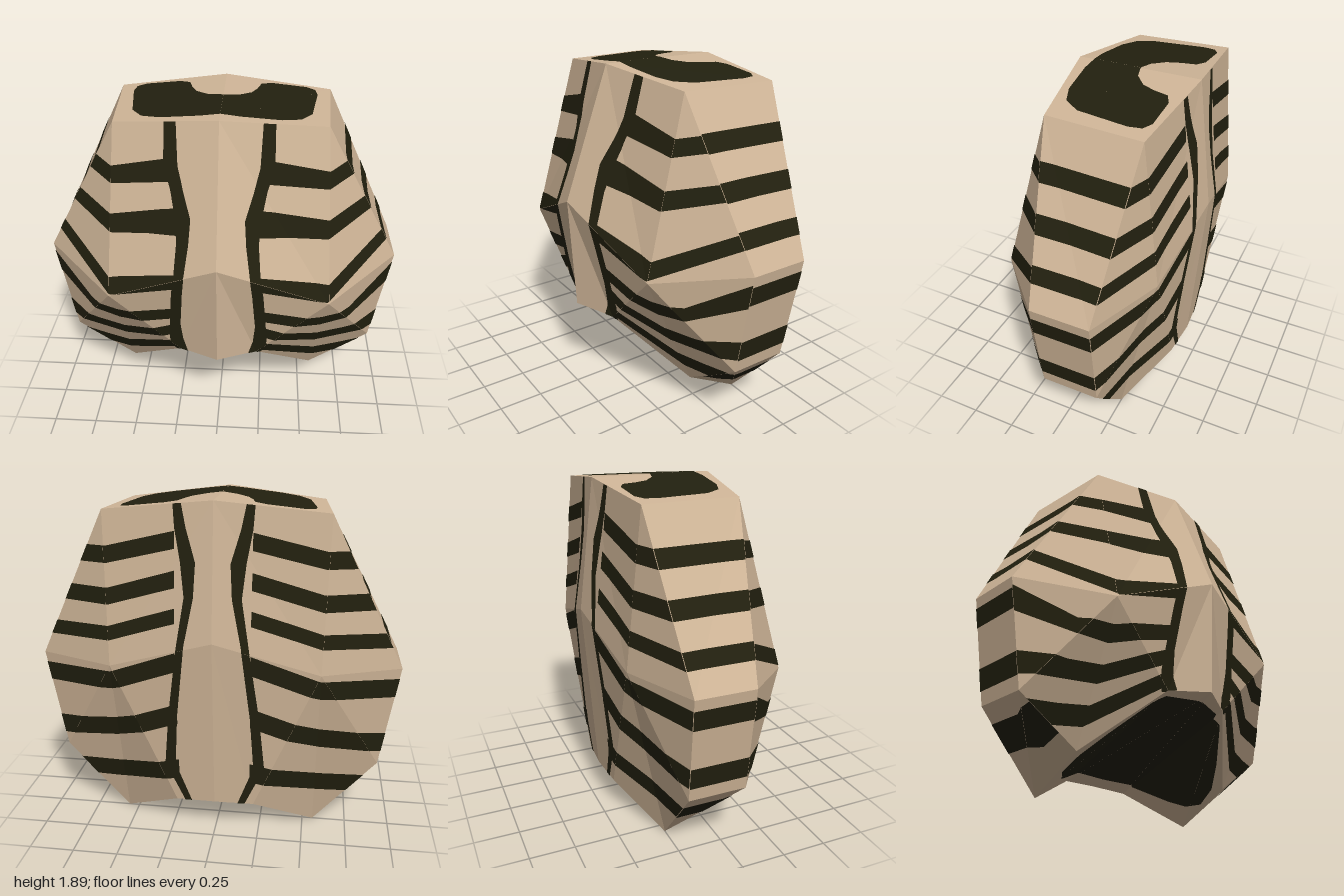
import * as THREE from 'three';

// Corner points of the +x half
const P = {
  T0: [0, 1.89, 0.25], T1: [0.555, 1.83, 0.15], T2: [0.59, 1.83, -0.38], T3: [0, 1.89, -0.43],
  M: [0, 1.17, 0.515], A: [0.61, 0.9, 0.4], S1: [1, 1, 0.04], S2: [1, 1, -0.29],
  L1: [0.91, 0.41, 0.05], L2: [0.91, 0.41, -0.27], B: [0.56, 0.18, 0.07], C: [0.22, 0.51, 0.37],
  D: [0, 0.53, 0.48], E: [0.56, 0, -0.25], F: [0.22, 0.18, -0.43], G: [0, 0.19, -0.45],
  H: [0, 1.17, -0.52], I: [0.57, 1.0, -0.46],
};

// Facets of each face of the torso
const FACETS = {
  front: ['T0 T1 A', 'T0 A M', 'T1 S1 A', 'A S1 L1', 'A L1 B', 'A B C', 'M A C', 'M C D'],
  back: ['T3 T2 I', 'T3 I H', 'T2 S2 I', 'I S2 L2', 'I L2 E', 'I E F', 'H I F', 'H F G'],
  side: ['T1 T2 S2', 'T1 S2 S1', 'S1 S2 L2', 'S1 L2 L1', 'L1 L2 E', 'L1 E B'],
  top: ['T0 T1 T2', 'T0 T2 T3'],
  underside: ['D C F', 'D F G', 'C B E', 'C E F'],
};
const CENTRE = new THREE.Vector3(0, 0.95, -0.03);

// Triangle with outward winding, plus its normal
function facet(names, mirror) {
  const t = names.split(' ').map((n) => new THREE.Vector3(P[n][0] * mirror, P[n][1], P[n][2]));
  const normalOf = () => t[1].clone().sub(t[0]).cross(t[2].clone().sub(t[0])).normalize();
  if (normalOf().dot(t[0].clone().sub(CENTRE)) < 0) t.reverse();
  return { t, n: normalOf() };
}

function meshOf(name, points, material) {
  const g = new THREE.BufferGeometry().setFromPoints(points);
  g.computeVertexNormals();
  const m = new THREE.Mesh(g, material);
  m.name = name;
  return m;
}

const cross = (a, b, p) => (b[0] - a[0]) * (p[1] - a[1]) - (b[1] - a[1]) * (p[0] - a[0]);

// Cut a flat polygon to a flat triangle
function clip(poly, tri) {
  const s = Math.sign(cross(tri[0], tri[1], tri[2]));
  let out = poly;
  for (let i = 0; i < 3; i++) {
    const a = tri[i], b = tri[(i + 1) % 3], src = out;
    out = [];
    src.forEach((p, k) => {
      const q = src[(k + 1) % src.length];
      const dp = s * cross(a, b, p), dq = s * cross(a, b, q);
      if (dp >= 0) out.push(p);
      if (dp * dq < 0) {
        const f = dp / (dp - dq);
        out.push([p[0] + (q[0] - p[0]) * f, p[1] + (q[1] - p[1]) * f]);
      }
    });
  }
  return out;
}

// Lay a flat outline (in axes u, v) onto the facets as a thin painted skin
function paint(points, facetNames, outline, u, v) {
  const pts = outline.map((p) => new THREE.Vector2(p[0], p[1]));
  if (THREE.ShapeUtils.isClockWise(pts)) pts.reverse();
  const pieces = THREE.ShapeUtils.triangulateShape(pts, []).map((f) => f.map((i) => [pts[i].x, pts[i].y]));
  for (const mirror of [1, -1]) for (const names of facetNames) {
    const { t, n } = facet(names, mirror);
    const flat = t.map((p) => [p[u] * (u === 'x' ? mirror : 1), p[v]]);
    const area = cross(...flat);
    for (const piece of pieces) {
      const lifted = clip(piece, flat).map((p) => {
        const w0 = cross(flat[1], flat[2], p) / area, w1 = cross(flat[2], flat[0], p) / area;
        return t[0].clone().multiplyScalar(w0).addScaledVector(t[1], w1)
          .addScaledVector(t[2], 1 - w0 - w1).addScaledVector(n, 0.003);
      });
      for (let i = 1; i + 1 < lifted.length; i++) {
        const [a, b, c] = [lifted[0], lifted[i], lifted[i + 1]];
        const d = b.clone().sub(a).cross(c.clone().sub(a)).dot(n);
        points.push(...(d > 0 ? [a, b, c] : [a, c, b]));
      }
    }
  }
}

// Outline of a stripe from [x, top, bottom] stations
const stripe = (st) => [...st.map((s) => [s[0], s[1]]), ...st.map((s) => [s[0], s[2]]).reverse()];
// Outline of an upright band from [y, inner, outer] stations
const band = (st) => [...st.map((s) => [s[1], s[0]]), ...st.map((s) => [s[2], s[0]]).reverse()];

const FRONT_RIBS = [
  [[0.23, 1.69, 1.57], [0.57, 1.61, 1.52], [0.72, 1.65, 1.56]],
  [[0.17, 1.45, 1.31], [0.58, 1.36, 1.26], [0.83, 1.43, 1.34]],
  [[0.19, 1.11, 1.02], [0.6, 1.01, 0.91], [0.95, 1.22, 1.13]],
  [[0.22, 0.86, 0.78], [0.58, 0.77, 0.68], [0.74, 0.78, 0.7], [1.0, 0.96, 0.83]],
  [[0.23, 0.73, 0.65], [0.57, 0.58, 0.49], [0.74, 0.58, 0.49], [0.95, 0.61, 0.49]],
  [[0.22, 0.62, 0.54], [0.57, 0.39, 0.29], [0.72, 0.38, 0.28], [0.87, 0.38, 0.26]],
];
// Back ribs: heights of the middle at spine, bend and side, then the width
const BACK_RIBS = [
  [1.69, 1.6, 1.595, 0.09], [1.49, 1.38, 1.375, 0.09], [1.3, 1.18, 1.16, 0.08],
  [1.05, 0.91, 0.885, 0.11], [0.74, 0.6, 0.545, 0.12], [0.39, 0.29, 0.265, 0.12],
];
const BACK_ENDS = [0.74, 0.86, 0.95, 1.0, 0.95, 0.84];

const STERNUM = [[1.9, 0.22, 0.28], [1.65, 0.21, 0.285], [1.53, 0.18, 0.25], [1.4, 0.14, 0.225],
  [1.27, 0.15, 0.215], [1.1, 0.175, 0.23], [0.97, 0.19, 0.25], [0.73, 0.21, 0.27], [0.6, 0.2, 0.28], [0.5, 0.17, 0.25]];
const SPINE = [[1.9, 0.17, 0.21], [1.75, 0.14, 0.2], [1.58, 0.09, 0.17], [1.4, 0.1, 0.15],
  [1.15, 0.15, 0.19], [0.73, 0.2, 0.25], [0.42, 0.22, 0.28], [0.18, 0.13, 0.17]];

// Neck and waist patches, half outlines
const NECK = [[0, -0.1], [0.08, -0.12], [0.15, -0.18], [0.18, -0.25], [0.2, -0.33], [0.26, -0.36],
  [0.45, -0.36], [0.5, -0.33], [0.51, -0.26], [0.49, -0.12], [0.47, 0.02], [0.41, 0.11], [0.31, 0.15], [0.1, 0.17], [0, 0.165]];
const WAIST = [[0, 0.5], [0.2, 0.495], [0.27, 0.45], [0.42, 0.29], [0.51, 0.18], [0.53, 0.11],
  [0.48, 0.1], [0.4, 0.13], [0.3, 0.175], [0.21, 0.215], [0, 0.22]];

export function createModel() {
  const bone = new THREE.MeshStandardMaterial({ color: 0xd0b698 });
  bone.name = 'bone tan';
  const dark = new THREE.MeshStandardMaterial({ color: 0x22200f });
  dark.name = 'dark olive';
  const group = new THREE.Group();
  group.name = 'ribcage';

  // Faceted torso
  for (const [face, list] of Object.entries(FACETS)) {
    const pts = [1, -1].flatMap((m) => list.flatMap((f) => facet(f, m).t));
    group.add(meshOf(`${face}Panels`, pts, bone));
  }

  const addPaint = (name, face, outlines, u, v) => {
    const pts = [];
    outlines.forEach((o) => paint(pts, FACETS[face], o, u, v));
    group.add(meshOf(name, pts, dark));
  };

  // Gaps between the ribs, with the bands beside sternum and spine
  addPaint('frontStripes', 'front', [...FRONT_RIBS.map(stripe), band(STERNUM)], 'x', 'y');
  const backStripes = BACK_RIBS.map(([a, b, c, w], i) => stripe(
    [[0.2, a], [0.57, b], [BACK_ENDS[i], c]].map(([x, y]) => [x, y + w / 2, y - w / 2])));
  addPaint('backStripes', 'back', [...backStripes, band(SPINE)], 'x', 'y');
  const sideStripes = BACK_RIBS.slice(0, 5).map(([, , y, w]) => stripe(
    [[-0.5, y + w / 2, y - w / 2], [0.3, y + w / 2, y - w / 2]]));
  sideStripes.push(stripe([[-0.4, 0.33, 0.2], [-0.04, 0.33, 0.2], [0.08, 0.38, 0.26]]));
  addPaint('sideStripes', 'side', sideStripes, 'z', 'y');

  // Openings at neck and waist
  addPaint('neckPatch', 'top', [NECK], 'x', 'z');
  addPaint('waistPatch', 'underside', [WAIST], 'x', 'y');
  return group;
}
